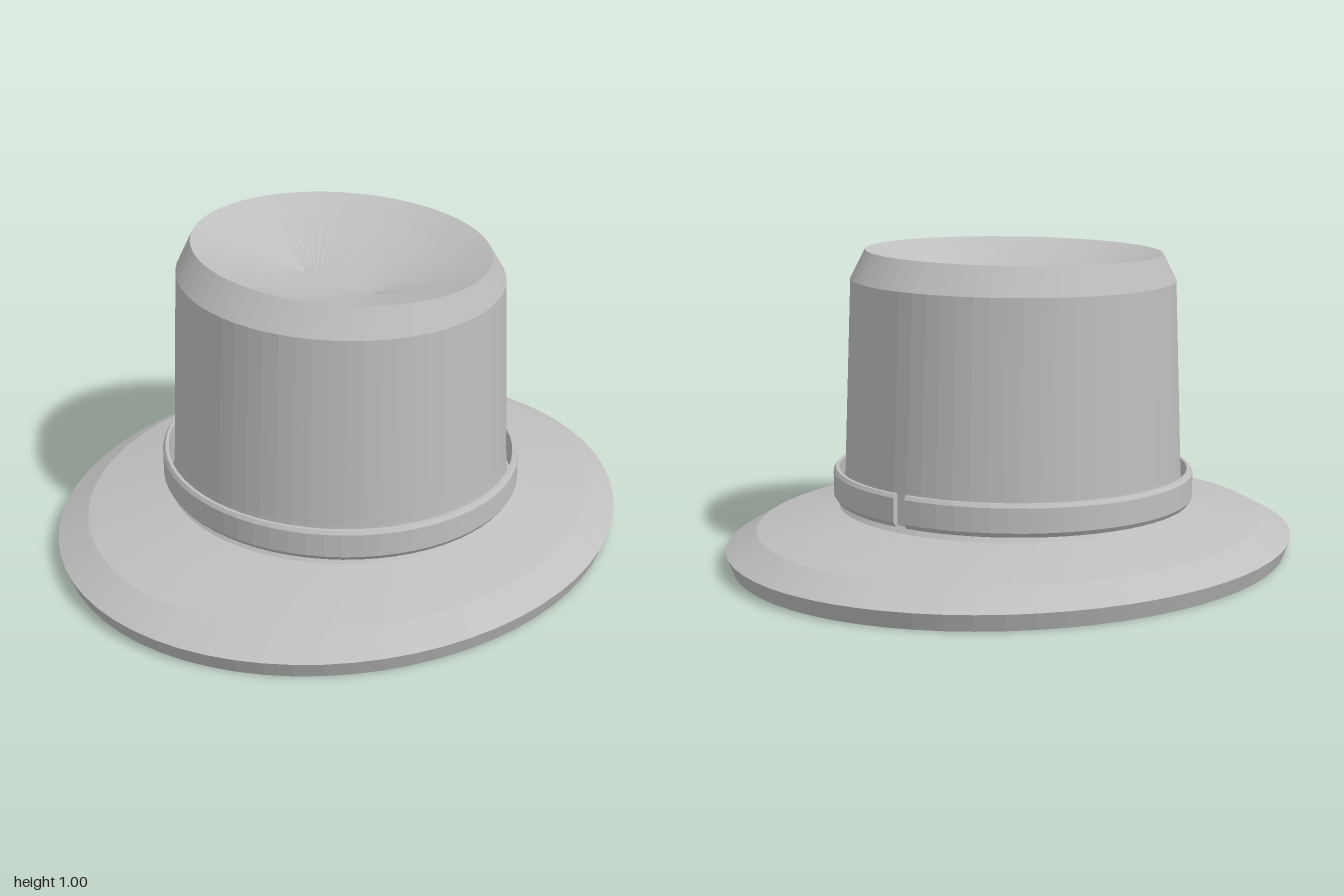
import * as THREE from 'three';

const SEGMENTS = 64;

// Faceted skin over elliptical rings [radiusX, y, radiusZ]; an open arc gets end caps
function loft(rings, start = 0, end = Math.PI * 2, capped = false) {
  const positions = [], index = [], row = SEGMENTS + 1;
  for (const [rx, y, rz] of rings) {
    for (let j = 0; j <= SEGMENTS; j++) {
      const a = start + (end - start) * j / SEGMENTS;
      positions.push(rx * Math.cos(a), y, rz * Math.sin(a));
    }
  }
  for (let i = 0; i < rings.length - 1; i++) {
    for (let j = 0; j < SEGMENTS; j++) {
      const a = i * row + j, b = a + row;
      index.push(a, b, a + 1, b, b + 1, a + 1);
    }
  }
  if (capped) {
    for (let i = 1; i < rings.length - 2; i++) {
      index.push(0, (i + 1) * row, i * row);
      index.push(SEGMENTS, i * row + SEGMENTS, (i + 1) * row + SEGMENTS);
    }
  }
  const indexed = new THREE.BufferGeometry();
  indexed.setAttribute('position', new THREE.Float32BufferAttribute(positions, 3));
  indexed.setIndex(index);
  const geometry = indexed.toNonIndexed();
  geometry.computeVertexNormals();
  return geometry;
}

export function createModel() {
  const group = new THREE.Group();
  const felt = new THREE.MeshStandardMaterial({ color: 0xbfbfbf });
  felt.name = 'grey felt';

  function add(name, geometry) {
    const mesh = new THREE.Mesh(geometry, felt);
    mesh.name = name;
    group.add(mesh);
  }

  // Wide oval brim with a flat underside and bevelled edge
  add('brim', loft([
    [0.49, 0, 0.51], [0.98, 0, 0.87], [1, 0.055, 0.89],
    [0.89, 0.11, 0.8], [0.565, 0.165, 0.58],
  ]));

  // Tapered crown with a chamfered shoulder
  add('crown', loft([
    [0.565, 0.165, 0.58], [0.55, 0.185, 0.567], [0.541, 0.29, 0.56],
    [0.507, 0.91, 0.543], [0.437, 1, 0.51],
  ]));

  // Sunken top falling to a short crease
  add('crownDip', loft([
    [0.437, 1, 0.51], [0.32, 0.96, 0.4], [0, 0.87, 0.14],
  ]));

  // Hollow inside of the crown
  add('lining', loft([
    [0, 0.82, 0.14], [0.46, 0.88, 0.49], [0.49, 0, 0.51],
  ]));

  // Thin band standing off the crown, split on the left side
  const gap = 0.035;
  add('band', loft([
    [0.562, 0.185, 0.578], [0.57, 0.185, 0.59], [0.58, 0.2, 0.6],
    [0.58, 0.278, 0.6], [0.572, 0.29, 0.592], [0.562, 0.29, 0.58],
    [0.562, 0.185, 0.578],
  ], gap, Math.PI * 2 - gap, true));

  return group;
}
